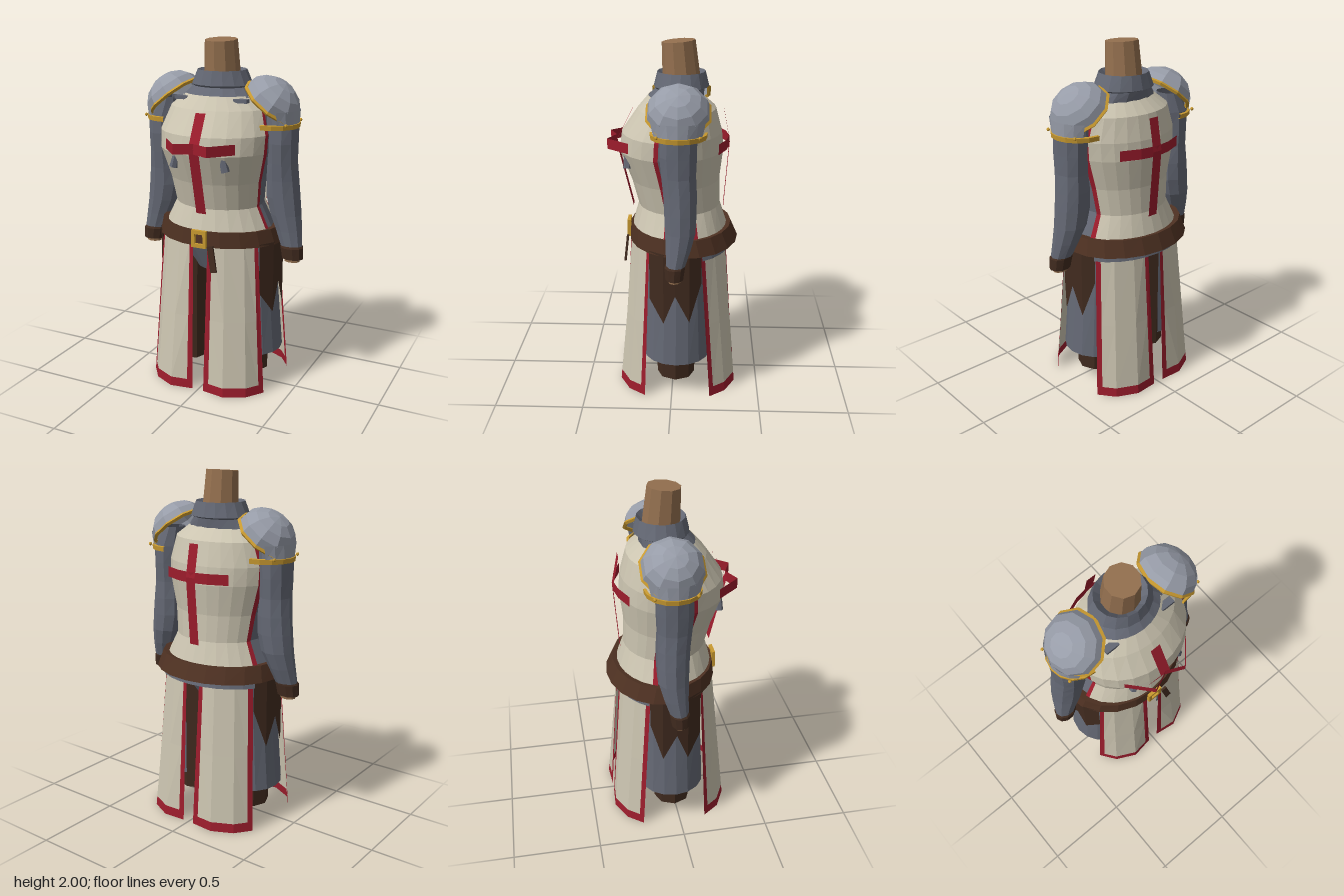
import * as THREE from 'three';

const paint = (name, color) => {
  const m = new THREE.MeshStandardMaterial({ color, flatShading: true, side: THREE.DoubleSide });
  m.name = name;
  return m;
};
const cream = paint('cream cloth', 0xcbc4b0), red = paint('red trim', 0x9c1c2c);
const mail = paint('grey mail', 0x646874), steel = paint('steel', 0x979ca8);
const leather = paint('belt leather', 0x4e3122), dark = paint('dark leather', 0x412b1f);
const gold = paint('gold', 0xc99a30), skin = paint('skin', 0x94704f);

const V = (x, y, z) => new THREE.Vector3(x, y, z);
const lerp = THREE.MathUtils.lerp;

// Faceted surface through rows of points
function grid(rows, flip = false) {
  const pts = [];
  for (let i = 0; i + 1 < rows.length; i++) {
    for (let j = 0; j + 1 < rows[i].length; j++) {
      const a = rows[i][j], b = rows[i][j + 1], c = rows[i + 1][j + 1], d = rows[i + 1][j];
      pts.push(...(flip ? [a, c, b, a, d, c] : [a, b, c, a, c, d]));
    }
  }
  const g = new THREE.BufferGeometry().setFromPoints(pts);
  g.computeVertexNormals();
  return g;
}

// Elliptical sections, top to bottom: [y, centreX, radiusX, frontZ, backZ]
function loft(sections, n = 16, from = 0, to = 360) {
  return grid(sections.map(([y, cx, rx, zf, zb]) => Array.from({ length: n + 1 }, (_, j) => {
    const a = THREE.MathUtils.degToRad(lerp(from, to, j / n));
    return V(cx + rx * Math.cos(a), y, (zf + zb) / 2 + (zf - zb) / 2 * Math.sin(a));
  })));
}

export function createModel() {
  const model = new THREE.Group();
  const add = (name, geo, mat, parent = model) => {
    const m = new THREE.Mesh(geo, mat);
    m.name = name;
    parent.add(m);
    return m;
  };

  // Neck and collar
  const neck = add('neck', new THREE.CylinderGeometry(0.092, 0.107, 0.25, 10), skin);
  neck.position.set(0, 1.868, -0.036);
  neck.rotation.x = 0.08;
  add('collar', loft([
    [1.79, 0, 0.1, 0.055, -0.14], [1.83, 0, 0.14, 0.09, -0.175], [1.75, 0, 0.175, 0.11, -0.195],
    [1.74, 0, 0.165, 0.1, -0.17], [1.69, 0, 0.215, 0.145, -0.165],
  ]), mail);

  // Tabard over a mail body; narrow red borders run down the open sides
  const torso = [
    [1.70, 0, 0.20, 0.14, -0.155], [1.63, 0, 0.29, 0.20, -0.235], [1.50, 0, 0.335, 0.29, -0.27],
    [1.40, 0, 0.33, 0.305, -0.28], [1.23, 0, 0.285, 0.24, -0.26], [1.08, 0, 0.265, 0.20, -0.265],
    [0.94, 0, 0.335, 0.24, -0.31],
  ];
  add('mailBody', loft(torso.map(([y, x, r, f, b]) => [y, x, r * 0.96, f * 0.95, b * 0.95])), mail);
  add('tabardFront', loft(torso, 10, 17, 163), cream);
  add('tabardBack', loft(torso, 10, 204, 336), cream);
  for (const [a, b] of [[12, 17], [163, 168], [198, 204], [336, 342]]) {
    add('tabardSideTrim', loft(torso.slice(1), 1, a, b), red);
  }

  // Crosses on chest and back
  const crossBar = (pts, flip) => grid([1.47, 1.412].map(y => pts.map(([x, z]) => V(x, y, z))), flip);
  const crossPost = (pts, flip) => grid(pts.map(([y, z]) => [V(-0.03, y, z), V(0.03, y, z)]), !flip);
  add('chestCrossBar', crossBar([[0.21, 0.24], [0.1, 0.365], [0, 0.32], [-0.1, 0.365], [-0.21, 0.24]]), red);
  add('chestCrossPost', crossPost([[1.62, 0.23], [1.44, 0.322], [1.06, 0.23]], true), red);
  add('backCrossBar', crossBar([[-0.21, -0.25], [-0.1, -0.295], [0, -0.312], [0.1, -0.295], [0.21, -0.25]]), red);
  add('backCrossPost', crossPost([[1.62, -0.28], [1.44, -0.314], [1.06, -0.285]], false), red);

  // Belt, buckle and hanging strap end
  add('belt', loft([
    [0.955, 0, 0.31, 0.20, -0.28], [0.965, 0, 0.36, 0.245, -0.33], [0.875, 0, 0.385, 0.255, -0.37],
    [0.88, 0, 0.33, 0.21, -0.3],
  ], 20), leather);
  const frame = new THREE.Shape([[-0.045, -0.05], [0.045, -0.05], [0.045, 0.05], [-0.045, 0.05]]
    .map(p => new THREE.Vector2(...p)));
  frame.holes.push(new THREE.Path([[-0.025, -0.028], [-0.025, 0.028], [0.025, 0.028], [0.025, -0.028]]
    .map(p => new THREE.Vector2(...p))));
  add('buckle', new THREE.ExtrudeGeometry(frame, { depth: 0.02, bevelEnabled: false }), gold)
    .position.set(0, 0.92, 0.248);
  const strap = add('beltStrapEnd', new THREE.BoxGeometry(0.036, 0.15, 0.012), dark);
  strap.position.set(0.085, 0.815, 0.27);
  strap.rotation.set(-0.1, 0, 0.2);

  // Mail hips and the hem under the back of the belt
  add('mailHips', loft([
    [0.9, 0, 0.3, 0.18, -0.24], [0.8, 0, 0.24, 0.14, -0.19], [0.68, 0, 0.14, 0.09, -0.13], [0.68, 0, 0, -0.02, -0.02],
  ]), mail);
  add('mailHem', loft([[0.88, 0, 0.36, 0.22, -0.32], [0.84, 0, 0.365, 0.22, -0.33]], 10, 205, 335), mail);

  // Skirt panel: horizontal path at top and bottom, with red borders
  const skirtPanel = (name, s, top, bottom, back) => {
    const at = (u, v) => {
      const k = Math.min(2, Math.floor(u * 3)), t = u * 3 - k;
      const p = path => [0, 1].map(i => lerp(path[k][i], path[k + 1][i], t));
      const a = p(bottom), b = p(top);
      return V(s * lerp(a[0], b[0], v), 0.89 * v, lerp(a[1], b[1], v));
    };
    const patch = (us, vs) => grid(vs.map(v => us.map(u => at(u, v))), (s > 0) !== back);
    const panel = new THREE.Group();
    panel.name = name;
    add('panelCloth', patch([0.085, 1 / 3, 2 / 3, 0.91], [1, 0.5, 0.06]), cream, panel);
    add('panelInnerTrim', patch([0, 0.085], [1, 0.06]), red, panel);
    add('panelOuterTrim', patch([0.91, 1], [1, 0.06]), red, panel);
    add('panelHemTrim', patch([0, 1 / 3, 2 / 3, 1], [0.06, 0]), red, panel);
    model.add(panel);
  };

  for (const s of [1, -1]) {
    const side = s > 0 ? 'left' : 'right', turn = s > 0 ? 0 : 180;

    skirtPanel(side + 'FrontPanel', s,
      [[0.045, 0.245], [0.14, 0.225], [0.24, 0.18], [0.30, 0.125]],
      [[0.035, 0.29], [0.17, 0.31], [0.29, 0.25], [0.36, 0.155]], false);
    skirtPanel(side + 'BackPanel', s,
      [[0.045, -0.30], [0.14, -0.285], [0.24, -0.235], [0.31, -0.16]],
      [[0.035, -0.36], [0.17, -0.368], [0.29, -0.31], [0.36, -0.22]], true);

    // Leg, mail skirt and pointed leather flap at the hip
    add(side + 'Leg', new THREE.CylinderGeometry(0.13, 0.108, 0.8, 8), dark).position.set(s * 0.2, 0.475, -0.02);
    add(side + 'MailSkirt', loft([
      [0.89, s * 0.2, 0.125, 0.13, -0.19], [0.55, s * 0.2, 0.155, 0.15, -0.2], [0.215, s * 0.2, 0.185, 0.165, -0.215],
    ], 10, turn - 110, turn + 110), mail);
    const flap = [[0.125, 0.6, 0.31], [0.045, 0.47, 0.363], [-0.02, 0.64, 0.368], [-0.1, 0.48, 0.363], [-0.165, 0.7, 0.32]];
    add(side + 'HipFlap', grid([
      flap.map(([z, , x]) => V(s * x, 0.89, z)), flap.map(([z, y, x]) => V(s * x, y, z)),
    ], s < 0), dark);

    // Arm, cuff and wrist
    add(side + 'Sleeve', loft([
      [1.66, 0.34, 0.06, 0.03, -0.11], [1.55, 0.37, 0.09, 0.06, -0.14], [1.45, 0.373, 0.085, 0.065, -0.14],
      [1.34, 0.372, 0.085, 0.055, -0.135], [1.24, 0.372, 0.095, 0.045, -0.14], [1.14, 0.378, 0.1, 0.04, -0.14],
      [1.04, 0.395, 0.092, 0.035, -0.135], [0.95, 0.42, 0.077, 0.03, -0.11], [0.85, 0.445, 0.062, 0.027, -0.075],
    ].map(([y, x, ...r]) => [y, s * x, ...r]), 10), mail);
    add(side + 'Cuff', loft([
      [0.87, s * 0.44, 0.06, 0.025, -0.08], [0.855, s * 0.445, 0.068, 0.035, -0.08],
      [0.79, s * 0.452, 0.063, 0.03, -0.07], [0.79, s * 0.452, 0.04, 0.01, -0.05],
    ], 10), dark);
    add(side + 'Wrist', loft([
      [0.81, s * 0.448, 0.048, 0.018, -0.06], [0.772, s * 0.45, 0.045, 0.015, -0.055], [0.772, s * 0.45, 0, -0.02, -0.02],
    ], 10), skin);

    // Domed shoulder plate with gold rim and lower band
    const plate = new THREE.Group();
    plate.name = side + 'Pauldron';
    plate.position.set(s * 0.3, 1.66, -0.035);
    plate.rotation.z = -s * 0.67;
    add('dome', new THREE.SphereGeometry(1, 10, 4, 0, Math.PI * 2, 0, Math.PI / 2), steel, plate).scale.set(0.17, 0.137, 0.172);
    add('domeRim', new THREE.TorusGeometry(0.168, 0.012, 4, 10).rotateX(Math.PI / 2), gold, plate);
    model.add(plate);
    add(side + 'PauldronSide', loft([
      [1.63, s * 0.31, 0.15, 0.13, -0.2], [1.55, s * 0.31, 0.148, 0.11, -0.18],
    ], 6, turn - 60, turn + 60), steel);
    add(side + 'PauldronBand', loft([
      [1.56, s * 0.31, 0.14, 0.105, -0.175], [1.558, s * 0.31, 0.155, 0.118, -0.19],
      [1.532, s * 0.31, 0.152, 0.115, -0.187], [1.53, s * 0.31, 0.14, 0.1, -0.17],
    ], 8, turn - 95, turn + 95), gold);
    for (const z of [0.075, -0.15]) {
      add('pauldronStud', new THREE.SphereGeometry(0.01, 6, 4), gold).position.set(s * 0.43, 1.56, z);
    }

    // Small mail tabs on the chest and by the collar
    const tab = add(side + 'ChestTab', new THREE.CylinderGeometry(0.018, 0.024, 0.09, 6), mail);
    tab.position.set(s * 0.147, 1.36, 0.25);
    tab.rotation.z = s * 0.25;
    add(side + 'CollarTab', new THREE.BoxGeometry(0.08, 0.02, 0.04), mail).position.set(s * 0.18, 1.68, 0.1);
  }
  return model;
}
